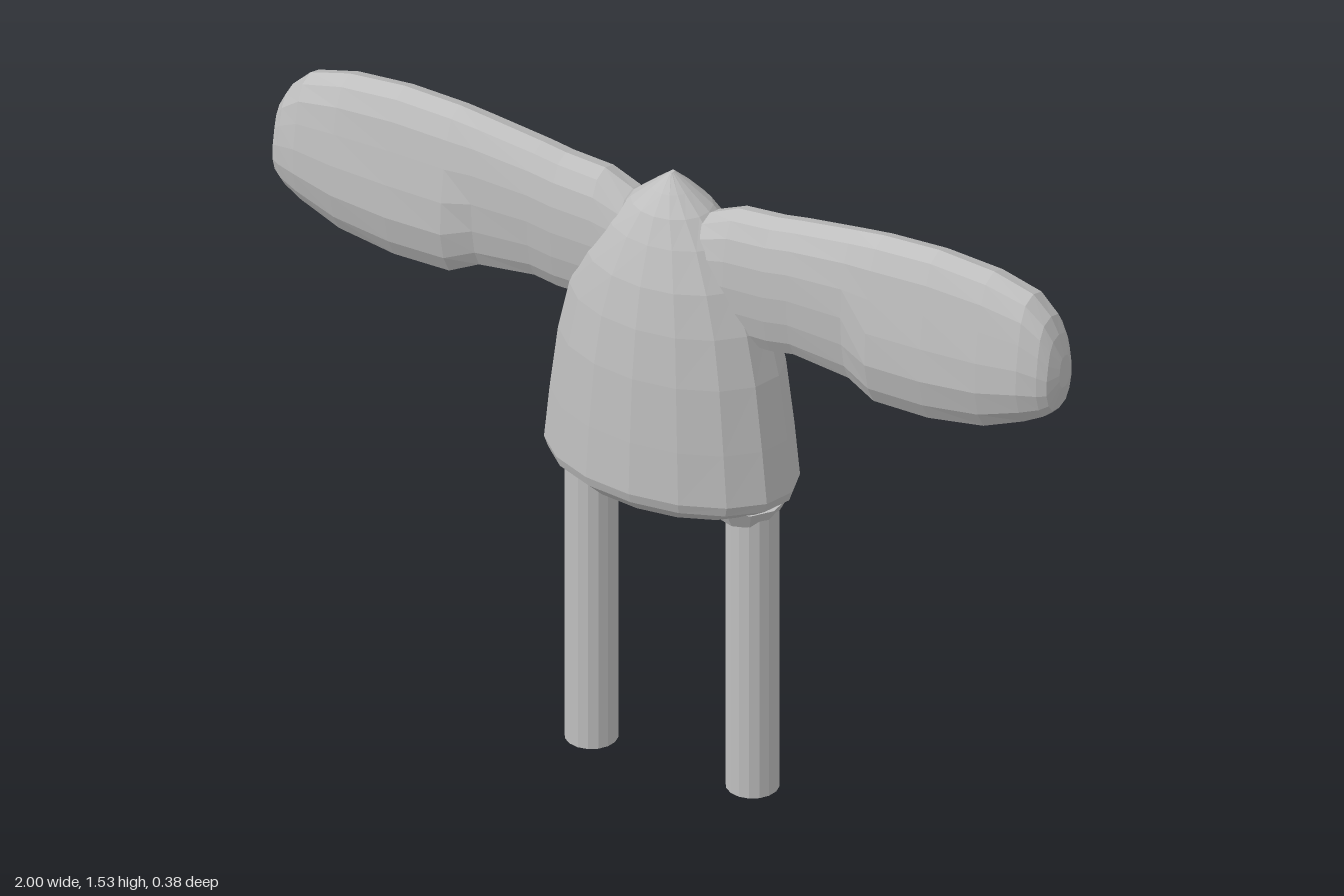
import * as THREE from 'three';

// Skin a series of closed rings and cap both ends.
function loft(rings) {
  const n = rings[0].length, pos = [], idx = [];
  rings.forEach(r => r.forEach(p => pos.push(...p)));
  for (let i = 0; i < rings.length - 1; i++) {
    for (let j = 0; j < n; j++) {
      const k = (j + 1) % n, a = i * n + j, b = i * n + k;
      idx.push(a, a + n, b, b, a + n, b + n);
    }
  }
  [0, rings.length - 1].forEach((i, end) => {
    const c = pos.length / 3;
    pos.push(...[0, 1, 2].map(d => rings[i].reduce((s, p) => s + p[d], 0) / n));
    for (let j = 0; j < n; j++) {
      const a = i * n + j, b = i * n + (j + 1) % n;
      idx.push(c, ...(end ? [b, a] : [a, b]));
    }
  });
  const g = new THREE.BufferGeometry();
  g.setAttribute('position', new THREE.Float32BufferAttribute(pos, 3));
  g.setIndex(idx);
  g.computeVertexNormals();
  return g;
}

const ringAngles = n => Array.from({ length: n }, (_, i) => (i / n) * Math.PI * 2);
const soften = (v, p) => Math.sign(v) * Math.pow(Math.abs(v), p);

// Tapered oval body: height, half width, half depth.
function bodyGeometry() {
  const sections = [
    [0.725, 0.2, 0.12], [0.735, 0.25, 0.155], [0.765, 0.298, 0.182], [0.79, 0.307, 0.19],
    [0.92, 0.293, 0.185], [1.08, 0.272, 0.175], [1.2, 0.245, 0.16], [1.3, 0.205, 0.14],
    [1.39, 0.15, 0.108], [1.45, 0.095, 0.08], [1.49, 0.047, 0.045], [1.525, 0.004, 0.008],
  ];
  return loft(sections.map(([y, rx, rz]) =>
    ringAngles(16).map(a => [rx * Math.cos(a), y, rz * Math.sin(a)])));
}

// Broad flat wing: x, top, bottom, upper half depth, lower half depth.
function wingGeometry() {
  const sections = [
    [0.06, 1.425, 1.2, 0.05, 0.05], [0.1, 1.45, 1.17, 0.072, 0.07], [0.17, 1.482, 1.15, 0.072, 0.07],
    [0.27, 1.49, 1.15, 0.072, 0.07], [0.33, 1.5, 1.16, 0.072, 0.07], [0.47, 1.519, 1.142, 0.073, 0.072],
    [0.54, 1.528, 1.108, 0.075, 0.092], [0.68, 1.534, 1.108, 0.075, 0.094], [0.82, 1.522, 1.132, 0.075, 0.092],
    [0.92, 1.494, 1.175, 0.07, 0.083], [0.965, 1.45, 1.2, 0.062, 0.07], [0.985, 1.41, 1.22, 0.05, 0.058],
    [1.0, 1.36, 1.28, 0.022, 0.025],
  ];
  return loft(sections.map(([x, top, bottom, upper, lower]) =>
    ringAngles(16).map(a => {
      const s = Math.sin(a);
      const depth = s < -0.2 ? lower : s > 0.2 ? upper : (upper + lower) / 2;
      return [x, (top + bottom) / 2 + s * (top - bottom) / 2, depth * soften(Math.cos(a), 0.7)];
    })));
}

export function createModel() {
  const group = new THREE.Group();
  const grey = new THREE.MeshStandardMaterial({ color: 0xbfbfbf, flatShading: true });
  grey.name = 'plain grey';

  function add(name, geometry, x = 0, y = 0) {
    const mesh = new THREE.Mesh(geometry, grey);
    mesh.name = name;
    mesh.position.set(x, y, 0);
    group.add(mesh);
    return mesh;
  }

  add('body', bodyGeometry());

  // Mirrored wings, straight legs and the collars where legs meet the body.
  const wing = wingGeometry();
  const leg = new THREE.CylinderGeometry(0.06, 0.06, 0.76, 16);
  const collar = new THREE.CylinderGeometry(0.09, 0.066, 0.045, 10);
  for (const [side, sign] of [['left', 1], ['right', -1]]) {
    add(side + 'Wing', wing).rotation.y = sign > 0 ? 0 : Math.PI;
    add(side + 'Leg', leg, sign * 0.205, 0.38);
    add(side + 'LegCollar', collar, sign * 0.19, 0.7225);
  }
  return group;
}
